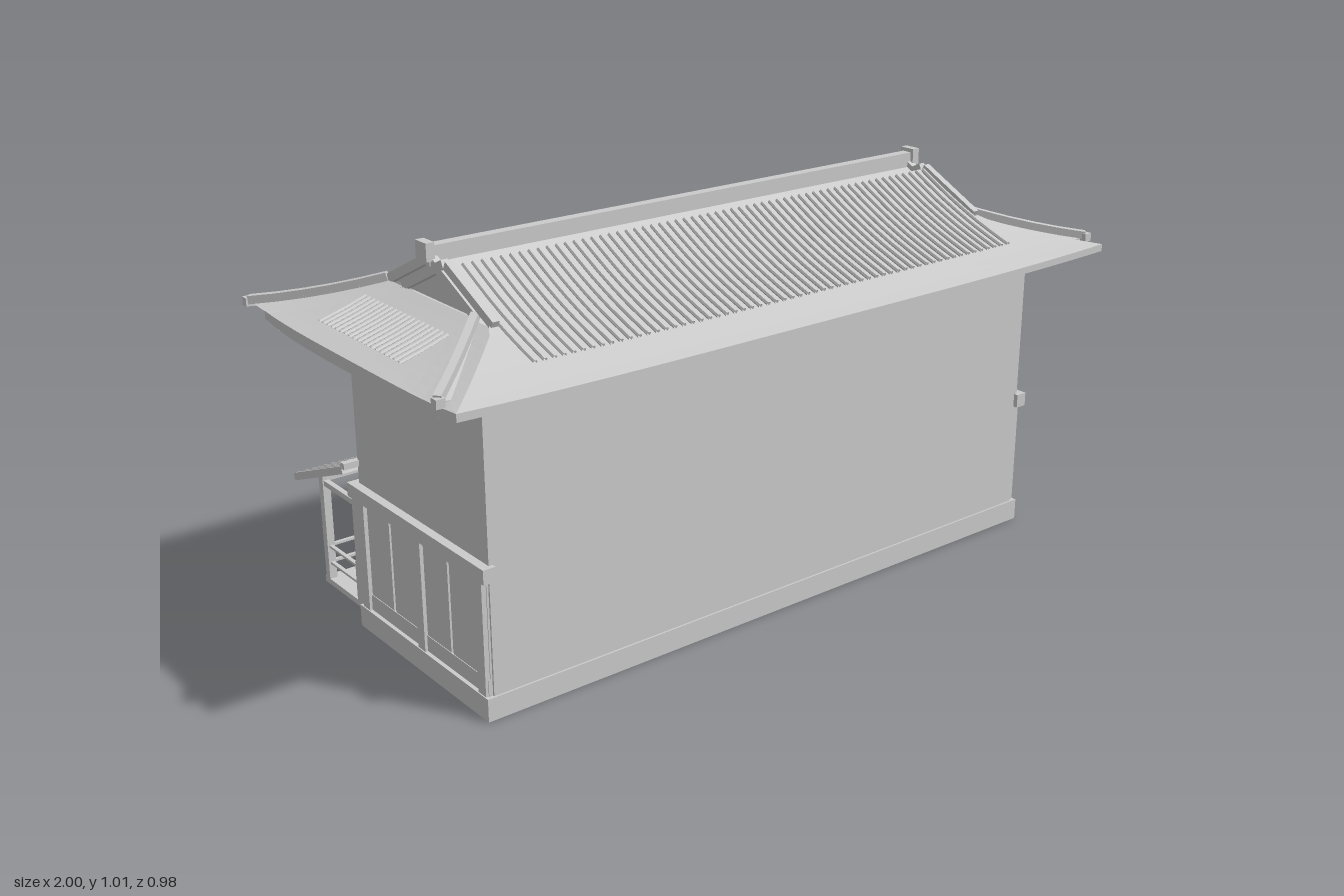
import * as THREE from 'three';

const grey = new THREE.MeshStandardMaterial({ color: 0xcccccc, side: THREE.DoubleSide, flatShading: true });
const EAVE_Z = 0.4225, GABLE_X = 0.75, EAVE_X = 0.985, HIP = 0.45, BODY_Z = 0.0675;

// Concave roof height: s = 0 at the ridge, 1 at the eave
const height = (s) => 0.965 - 0.24 * s + 0.07 * s * s;
const halfWidth = (s) => (s < HIP ? GABLE_X : GABLE_X + (EAVE_X - GABLE_X) * (s - HIP) / (1 - HIP));

export function createModel() {
  const root = new THREE.Group();
  root.name = 'hallWithVeranda';

  const group = (name, parent = root) => {
    const g = new THREE.Group();
    g.name = name;
    parent.add(g);
    return g;
  };
  const add = (parent, name, geo) => {
    const m = new THREE.Mesh(geo, grey);
    m.name = name;
    parent.add(m);
    return m;
  };
  // Box given by its limits on each axis
  const box = (parent, name, x0, x1, y0, y1, z0, z1) => {
    const m = add(parent, name, new THREE.BoxGeometry(Math.abs(x1 - x0), y1 - y0, Math.abs(z1 - z0)));
    m.position.set((x0 + x1) / 2, (y0 + y1) / 2, (z0 + z1) / 2);
    return m;
  };
  // Beam between two points
  const bar = (parent, name, p, q, w, h) => {
    const m = add(parent, name, new THREE.BoxGeometry(w, h, p.distanceTo(q)));
    m.position.copy(p).lerp(q, 0.5);
    m.lookAt(q);
    return m;
  };
  // Curved sheet from a rule f(u, v) with u and v in 0..1
  const sheet = (parent, name, nu, nv, f) => {
    const geo = new THREE.PlaneGeometry(1, 1, nu, nv);
    const p = geo.attributes.position;
    for (let i = 0; i < p.count; i++) p.setXYZ(i, ...f(p.getX(i) + 0.5, p.getY(i) + 0.5));
    geo.computeVertexNormals();
    return add(parent, name, geo);
  };
  const V = (x, y, z) => new THREE.Vector3(x, y, z);

  // Main body and plinth
  const body = group('body');
  box(body, 'walls', -0.845, 0.845, 0.01, 0.785, -0.22, 0.355);
  box(body, 'plinth', -0.865, 0.865, 0, 0.057, -0.22, 0.36);

  // Panelled wainscot on both ends
  for (const s of [-1, 1]) {
    const side = group(s > 0 ? 'leftWainscot' : 'rightWainscot');
    box(side, 'board', s * 0.84, s * 0.85, 0.057, 0.345, -0.215, 0.35);
    box(side, 'topBeam', s * 0.835, s * 0.867, 0.34, 0.376, -0.24, 0.367);
    box(side, 'bottomRail', s * 0.84, s * 0.855, 0.057, 0.098, -0.215, 0.35);
    for (const z of [0.332, 0.07, -0.192]) box(side, 'post', s * 0.84, s * 0.862, 0.057, 0.34, z - 0.016, z + 0.016);
    for (const z of [0.258, 0.142, -0.003, -0.118])
      box(side, 'panel', s * 0.84, s * 0.855, 0.1, 0.332, z - 0.052, z + 0.052);
    box(side, 'rearCornerPost', s * 0.835, s * 0.86, 0.06, 0.376, -0.236, -0.208);
  }

  // Rear wall: upper windows and lower sliding screens
  const rear = group('rearWall');
  for (let i = 0; i <= 5; i++) {
    const x = -0.515 + i * 0.207;
    box(rear, 'windowPost', x - 0.007, x + 0.007, 0.42, 0.715, -0.228, -0.215);
  }
  for (const y of [0.43, 0.71]) box(rear, 'windowRail', -0.52, 0.527, y, y + 0.01, -0.228, -0.215);
  for (let i = 0; i <= 10; i++) {
    const x = -0.82 + i * 0.164;
    box(rear, 'screenPost', x - 0.008, x + 0.008, 0.06, 0.33, -0.232, -0.215);
  }
  for (const y of [0.06, 0.15, 0.235, 0.32]) box(rear, 'screenRail', -0.83, 0.83, y, y + 0.01, -0.229, -0.215);

  // Veranda floor, posts, railings and steps
  const veranda = group('veranda');
  box(veranda, 'floor', -0.86, 0.86, 0.045, 0.06, -0.41, -0.215);
  const posts = [-0.85, -0.5, -0.155, 0.155, 0.5, 0.85];
  for (const x of posts) {
    box(veranda, 'post', x - 0.01, x + 0.01, 0.055, 0.335, -0.405, -0.385);
    box(veranda, 'crossBeam', x - 0.007, x + 0.007, 0.314, 0.328, -0.39, -0.22);
  }
  box(veranda, 'eaveBeam', -0.86, 0.86, 0.325, 0.34, -0.405, -0.385);
  for (let i = 0; i < 5; i++) {
    if (i === 2) continue;
    const a = posts[i], b = posts[i + 1];
    for (const y of [0.1, 0.145]) box(veranda, 'rail', a, b, y, y + 0.006, -0.4, -0.39);
    for (const t of [1 / 3, 2 / 3]) {
      const x = a + (b - a) * t;
      box(veranda, 'railPost', x - 0.006, x + 0.006, 0.06, 0.16, -0.4, -0.388);
    }
  }
  for (const s of [-1, 1]) {
    for (const y of [0.1, 0.145]) box(veranda, 'endRail', s * 0.845, s * 0.855, y, y + 0.006, -0.39, -0.235);
    box(veranda, 'endRailPost', s * 0.84, s * 0.86, 0.05, 0.165, -0.241, -0.226);
    box(veranda, 'postPlate', s * 0.155 - 0.014, s * 0.155 + 0.014, 0.185, 0.237, -0.412, -0.404);
    box(veranda, 'postBracket', s * 0.155 - 0.012, s * 0.155 + 0.012, 0.165, 0.18, -0.41, -0.38);
  }
  box(veranda, 'upperStep', -0.17, 0.17, 0, 0.038, -0.445, -0.4);
  box(veranda, 'lowerStep', -0.17, 0.17, 0, 0.018, -0.485, -0.4);

  // Ribbed lean-to roof over the veranda
  const lean = group('verandaRoof');
  bar(lean, 'slab', V(0, 0.414, -0.225), V(0, 0.309, -0.488), 1.77, 0.014);
  for (let i = 0; i <= 74; i++) {
    const x = -0.88 + i * 1.76 / 74;
    bar(lean, 'tileRib', V(x, 0.422, -0.226), V(x, 0.317, -0.489), 0.011, 0.009);
  }
  box(lean, 'wallCap', -0.885, 0.885, 0.42, 0.436, -0.23, -0.213);

  // Hip-and-gable roof shell, centred on depth z0
  const roofPoint = (s, u, side, z0, dy) =>
    [u * halfWidth(s), height(s) + dy + 0.01 * u ** 4 * s ** 3, z0 + side * EAVE_Z * s];
  const shell = (name, z0, dy) => {
    const g = group(name);
    for (const side of [-1, 1]) {
      sheet(g, 'longSlope', 24, 12, (u, v) => roofPoint(v, 2 * u - 1, side, z0, dy));
      sheet(g, 'endSkirt', 16, 8, (u, v) => {
        const s = HIP + (1 - HIP) * v, w = 2 * u - 1;
        return [side * halfWidth(s), height(s) + dy + 0.01 * s ** 3 * w ** 4, z0 + w * EAVE_Z * s];
      });
      sheet(g, 'gableWall', 12, 1, (u, v) => {
        const s = (2 * u - 1) * HIP, base = height(HIP) + dy - 0.006;
        return [side * 0.728, base + v * (height(Math.abs(s)) + dy - base), z0 + s * EAVE_Z];
      });
    }
    return g;
  };
  const under = shell('lowerRoof', BODY_Z, -0.004);
  const upper = shell('upperRoof', 0, 0);

  // Soffit and fascia below the eaves
  const soffitY = (u, v) => 0.762 + 0.012 * v ** 4 + 0.008 * u ** 4 * v ** 4;
  sheet(under, 'soffit', 16, 12, (u, v) => {
    const a = 2 * u - 1, b = 2 * v - 1;
    return [a * EAVE_X, soffitY(a, b), BODY_Z + b * EAVE_Z];
  });
  for (const side of [-1, 1]) {
    sheet(under, 'longFascia', 24, 1, (u, v) => {
      const a = 2 * u - 1, [x, y, z] = roofPoint(1, a, side, BODY_Z, -0.004);
      return [x, v ? y : soffitY(a, 1), z];
    });
    sheet(under, 'endFascia', 16, 1, (u, v) => {
      const b = 2 * u - 1;
      return [side * EAVE_X, v ? 0.791 + 0.01 * b ** 4 : soffitY(1, b), BODY_Z + b * EAVE_Z];
    });
    sheet(upper, 'eaveEdge', 24, 1, (u, v) => {
      const [x, y, z] = roofPoint(1, 2 * u - 1, side, 0, 0);
      return [x, y - v * 0.01, z];
    });
  }

  // Rows of round tile ribs
  const rib = (points) => add(upper, 'tileRib',
    new THREE.TubeGeometry(new THREE.CatmullRomCurve3(points), 6, 0.0055, 6));
  for (let i = 0; i < 60; i++) {
    const x = -0.73 + i * 1.46 / 59;
    for (const side of [-1, 1]) {
      const z0 = side > 0 ? BODY_Z : 0;
      const [a, b] = side > 0 ? [0.02, 0.76] : [0.1, 0.9];
      rib([0, 1, 2, 3].map((k) => {
        const s = a + (b - a) * k / 3;
        return V(x, height(s) + 0.001, z0 + side * EAVE_Z * s);
      }));
    }
  }
  for (const side of [-1, 1]) for (let i = 0; i < 19; i++)
    rib([0.6, 0.72, 0.88].map((s) => V(side * halfWidth(s), height(s) + 0.001, -0.18 + i * 0.02)));

  // Top ridge, hip ridges and gable edge boards
  const ridges = group('ridges');
  box(ridges, 'topRidge', -0.755, 0.755, 0.95, 0.996, -0.014, 0.014);
  for (const sx of [-1, 1]) {
    box(ridges, 'ridgeEnd', sx * 0.745, sx * 0.767, 0.963, 1.006, -0.023, 0.023);
    for (const sz of [-1, 1]) {
      const at = (s) => V(sx * halfWidth(s), height(s) + 0.008 + 0.01 * s ** 3, sz * EAVE_Z * s);
      for (let k = 0; k < 5; k++)
        bar(ridges, 'hipRidge', at(HIP + 0.112 * k), at(HIP + 0.112 * (k + 1)), 0.018, 0.02);
      box(ridges, 'hipEnd', sx * 0.978, sx, 0.797, 0.818, sz * 0.42, sz * 0.44);
      const edge = (s, z0) => V(sx * 0.743, height(s) + 0.002, z0 + sz * EAVE_Z * s);
      for (const z0 of [0, BODY_Z])
        bar(ridges, 'gableEdge', edge(0.01, z0), edge(HIP, z0), 0.018, 0.022);
    }
  }
  return root;
}
